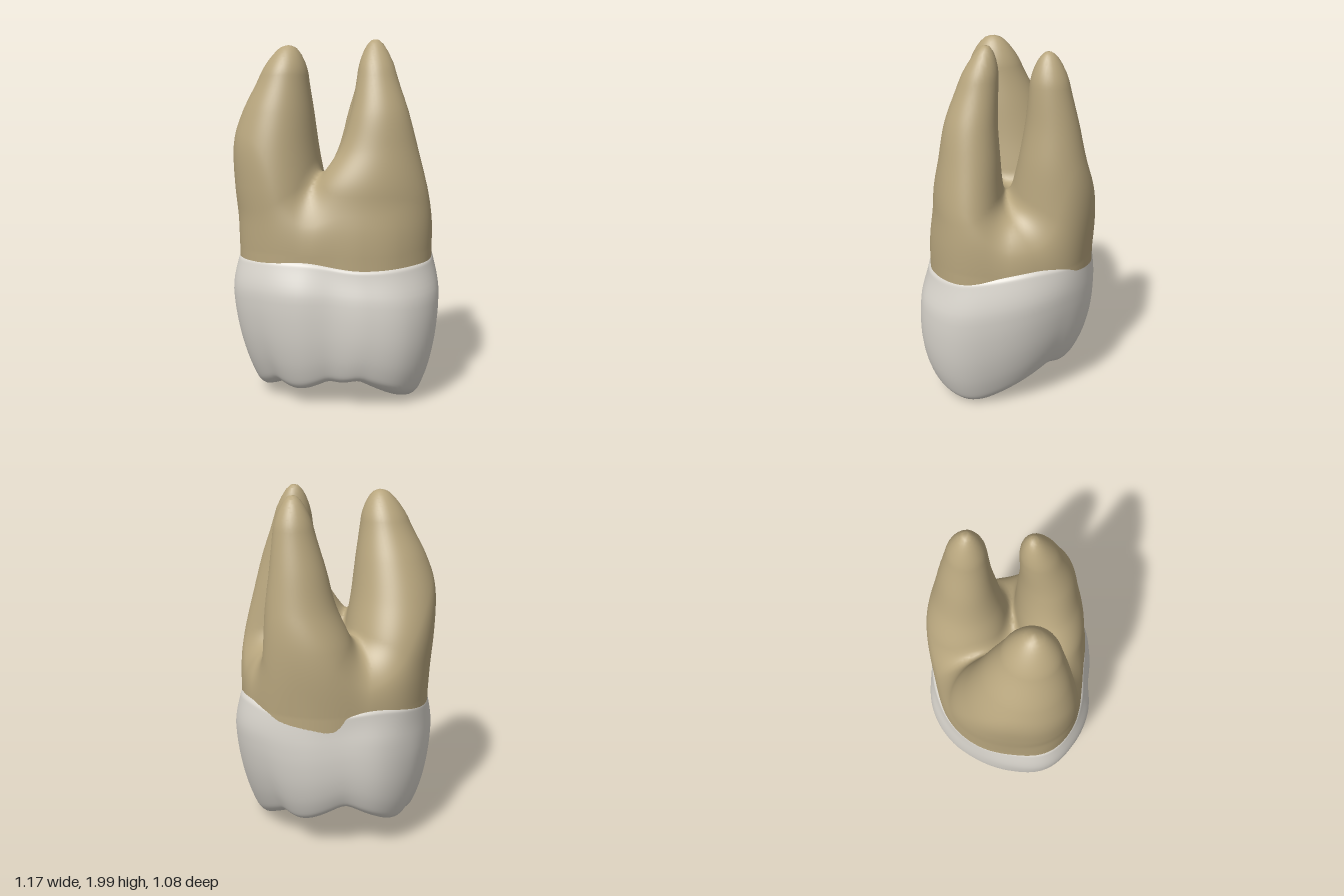
import * as THREE from 'three';
import { mergeVertices } from 'three/addons/utils/BufferGeometryUtils.js';

const enamel = new THREE.MeshStandardMaterial({ color: 0xd8d4cc });
enamel.name = 'enamel';
const dentine = new THREE.MeshStandardMaterial({ color: 0xb8a67e });
dentine.name = 'dentine';

// Cubic interpolation through evenly spaced values
function cubic(p0, p1, p2, p3, f) {
  return p1 + 0.5 * f * (p2 - p0 + f * (2 * p0 - 5 * p1 + 4 * p2 - p3 + f * (3 * (p1 - p2) + p3 - p0)));
}
function around(list, angle) {
  const n = list.length;
  const t = ((angle / (2 * Math.PI)) % 1 + 1) % 1 * n;
  const i = Math.floor(t), at = k => list[(k + n) % n];
  return cubic(at(i - 1), at(i), at(i + 1), at(i + 2), t - i);
}
function along(rows, t, column) {
  const n = rows.length;
  t = Math.min(Math.max(t, 0), n - 1);
  const i = Math.min(Math.floor(t), n - 2);
  const at = k => rows[Math.min(Math.max(k, 0), n - 1)][column];
  return cubic(at(i - 1), at(i), at(i + 1), at(i + 2), t - i);
}
function smin(a, b, k) {
  const h = Math.max(k - Math.abs(a - b), 0) / k;
  return Math.min(a, b) - h * h * k * 0.25;
}
const smax = (a, b, k) => -smin(-a, -b, k);

// Crown radius, neck radius and neck height, by angle from +x towards +z
const CROWN = [0.58, 0.59, 0.615, 0.58, 0.5, 0.455, 0.495, 0.54, 0.585, 0.555, 0.535, 0.53, 0.53, 0.51, 0.535, 0.56];
const NECK = [0.545, 0.55, 0.56, 0.515, 0.45, 0.41, 0.435, 0.495, 0.546, 0.522, 0.518, 0.508, 0.487, 0.488, 0.515, 0.54];
const NECK_Y = [0.86, 0.79, 0.76, 0.8, 0.8, 0.81, 0.86, 0.84];

// The crown is fullest high up on its x sides and low down on its z sides
const crownRadius = (a, drop) => around(CROWN, a) * (1 - 0.13 * Math.cos(2 * a) * (drop - 0.3));

// Cusps and margins of the chewing surface: x, z, lowest y
const CUSPS = [[0.3, 0.28, 0], [-0.37, -0.08, 0.035], [-0.18, -0.39, 0.155], [0.38, -0.23, 0.18], [-0.06, 0.3, 0.125], [-0.28, 0.2, 0.085]];
function chewingHeight(x, z) {
  let y = 0.3;
  for (const [cx, cz, cy] of CUSPS) {
    const d = Math.hypot(x - cx, z - cz);
    y = smin(y, cy + 0.62 * (Math.sqrt(d * d + 0.01) - 0.1), 0.025);
  }
  return Math.max(y, 0);
}

// Crown: rings run down the wall from the neck, round the edge and in to the centre
function crownGeometry() {
  const wall = new THREE.SplineCurve([[0.965, -0.02], [1, 0.003], [1.006, 0.05], [1, 0.2], [1, 0.4], [0.975, 0.6],
    [0.925, 0.78], [0.86, 0.92], [0.815, 0.975], [0.77, 1]].map(p => new THREE.Vector2(...p)));
  const sides = 128, wallRings = 36, innerRings = 36;
  const pos = [], index = [];
  for (let i = 0; i <= wallRings + innerRings; i++) {
    const onWall = i <= wallRings;
    const p = wall.getPoint(Math.min(i / wallRings, 1));
    const scale = onWall ? p.x : 0.77 * (1 - (i - wallRings) / innerRings);
    const swell = THREE.MathUtils.smoothstep(p.y, -0.05, 0.27);
    for (let j = 0; j < sides; j++) {
      const a = j / sides * Math.PI * 2, c = Math.cos(a), s = Math.sin(a);
      const edge = crownRadius(a, 1) * 0.77;
      const r = THREE.MathUtils.lerp(around(NECK, a), crownRadius(a, p.y), swell) * scale;
      const y = onWall
        ? THREE.MathUtils.lerp(around(NECK_Y, a), chewingHeight(c * edge, s * edge), p.y)
        : chewingHeight(c * r, s * r);
      pos.push(c * r, y, s * r);
      if (i === 0) continue;
      const k = (j + 1) % sides, u = (i - 1) * sides, v = i * sides;
      index.push(u + j, u + k, v + j, u + k, v + k, v + j);
    }
  }
  let g = new THREE.BufferGeometry();
  g.setAttribute('position', new THREE.Float32BufferAttribute(pos, 3));
  g.setIndex(index);
  g = mergeVertices(g, 1e-5);
  g.computeVertexNormals();
  return g;
}

// Roots: tip height, turn, then centre x, centre z and two radii every 0.2 from y = 0.8
const ROOTS = [
  { tip: 1.97, turn: -1.1, rows: [[-0.25, -0.1, 0.38, 0.27], [-0.26, -0.11, 0.375, 0.27], [-0.295, -0.105, 0.345, 0.265],
    [-0.32, -0.085, 0.29, 0.245], [-0.312, -0.055, 0.225, 0.2], [-0.287, -0.02, 0.15, 0.135], [-0.265, 0, 0.1, 0.09]] },
  { tip: 2.0, turn: 0.2, rows: [[0.12, 0.23, 0.38, 0.2], [0.12, 0.24, 0.36, 0.2], [0.125, 0.25, 0.31, 0.19],
    [0.165, 0.25, 0.22, 0.165], [0.175, 0.24, 0.16, 0.14], [0.175, 0.2, 0.11, 0.105], [0.18, 0.16, 0.075, 0.07]] },
  { tip: 1.98, turn: 0, rows: [[0.25, -0.2, 0.28, 0.28], [0.255, -0.2, 0.27, 0.265], [0.27, -0.19, 0.24, 0.23],
    [0.3, -0.17, 0.19, 0.18], [0.31, -0.16, 0.15, 0.14], [0.32, -0.14, 0.108, 0.105], [0.32, -0.13, 0.07, 0.075]] },
];
function rootField(x, y, z) {
  // Trunk below the fork, rising from the neck and rounded over
  const side = Math.hypot(x, z) - around(NECK, Math.atan2(z, x));
  const rise = Math.max(y - 0.85, 0);
  let d = smax(side + 0.1 * rise, y - 1.16, 0.3);
  for (const { tip, turn, rows } of ROOTS) {
    const t = (y - 0.8) / 0.2;
    const up = Math.min(Math.max((y - tip + 0.17) / 0.17, 0), 1);
    const cap = Math.max(Math.sqrt(1 - up * up), 0.01);
    const dx = x - along(rows, t, 0), dz = z - along(rows, t, 1);
    const a = along(rows, t, 2) * cap, b = along(rows, t, 3) * cap;
    const c = Math.cos(turn), s = Math.sin(turn);
    const q = Math.hypot((dx * c + dz * s) / a, (dz * c - dx * s) / b);
    d = smin(d, (q - 1) * Math.min(a, b) + Math.max(y - tip, 0), 0.07);
  }
  // Keep the roots inside the neck
  return smax(d, side - 0.07 * rise - 0.01, 0.05);
}

// Smooth skin over a field: one vertex in each crossed cell, one quad for each crossed edge
function skin(field, min, size, step) {
  const n = size.map(v => Math.ceil(v / step) + 1);
  const stride = [1, n[0], n[0] * n[1]];
  const value = new Float32Array(n[0] * n[1] * n[2]);
  const cell = new Int32Array(value.length).fill(-1);
  const pos = [], normal = [], index = [];
  const each = (trim, fn) => {
    for (let k = 0; k < n[2] - trim; k++)
      for (let j = 0; j < n[1] - trim; j++)
        for (let i = 0; i < n[0] - trim; i++) fn([i, j, k], i + j * stride[1] + k * stride[2]);
  };
  each(0, (p, id) => { value[id] = field(...p.map((v, a) => min[a] + v * step)); });
  each(1, (p, id) => {
    const sum = [0, 0, 0];
    let count = 0;
    for (let corner = 0; corner < 8; corner++) {
      const bits = [corner & 1, corner >> 1 & 1, corner >> 2 & 1];
      const from = id + bits[0] + bits[1] * stride[1] + bits[2] * stride[2];
      for (let a = 0; a < 3; a++) {
        if (bits[a]) continue;
        const v0 = value[from], v1 = value[from + stride[a]];
        if ((v0 < 0) === (v1 < 0)) continue;
        for (let m = 0; m < 3; m++) sum[m] += bits[m] + (m === a ? v0 / (v0 - v1) : 0);
        count++;
      }
    }
    if (!count) return;
    const q = p.map((v, a) => min[a] + (v + sum[a] / count) * step);
    const e = 0.008;
    const slope = new THREE.Vector3(...[0, 1, 2].map(a => {
      const hi = q.slice(), lo = q.slice();
      hi[a] += e; lo[a] -= e;
      return field(...hi) - field(...lo);
    })).normalize();
    cell[id] = pos.length / 3;
    pos.push(...q);
    normal.push(slope.x, slope.y, slope.z);
  });
  each(1, (p, id) => {
    for (let a = 0; a < 3; a++) {
      const b = (a + 1) % 3, c = (a + 2) % 3;
      if (!p[b] || !p[c] || (value[id] < 0) === (value[id + stride[a]] < 0)) continue;
      const quad = [id - stride[b] - stride[c], id - stride[c], id, id - stride[b]].map(v => cell[v]);
      if (value[id] >= 0) quad.reverse();
      index.push(quad[0], quad[1], quad[2], quad[0], quad[2], quad[3]);
    }
  });
  const g = new THREE.BufferGeometry();
  g.setAttribute('position', new THREE.Float32BufferAttribute(pos, 3));
  g.setAttribute('normal', new THREE.Float32BufferAttribute(normal, 3));
  g.setIndex(index);
  return g;
}

export function createModel() {
  const model = new THREE.Group();
  model.name = 'molarTooth';
  const crown = new THREE.Mesh(crownGeometry(), enamel);
  crown.name = 'crown';
  const roots = new THREE.Mesh(skin(rootField, [-0.66, 0.71, -0.62], [1.32, 1.34, 1.28], 0.02), dentine);
  roots.name = 'roots';
  model.add(crown, roots);
  return model;
}
